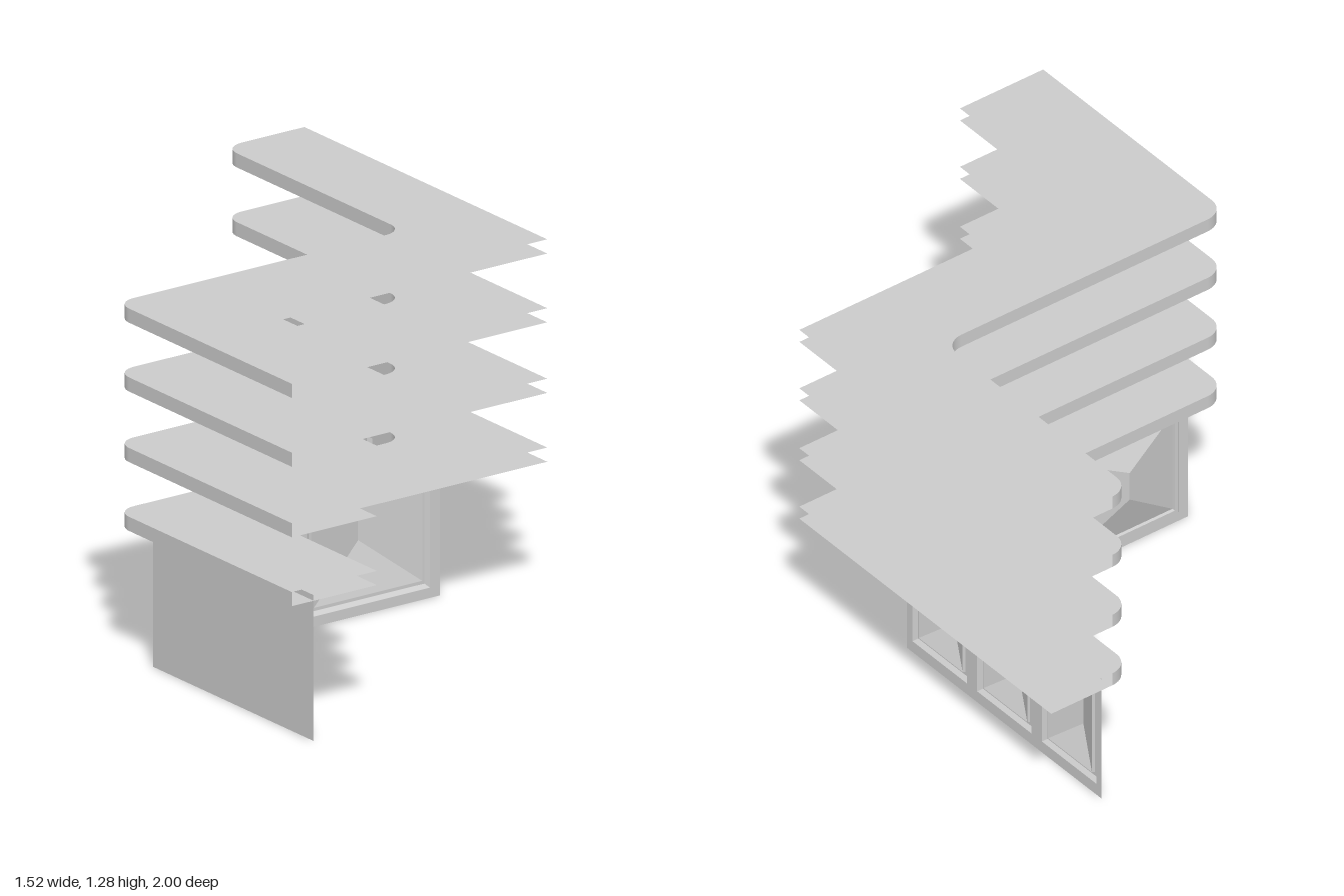
import * as THREE from 'three';

const material = new THREE.MeshStandardMaterial({ color: 0xcccccc, side: THREE.DoubleSide });
const BASE_HEIGHT = 0.515;

function addMesh(parent, geometry, name) {
  const mesh = new THREE.Mesh(geometry, material);
  mesh.name = name;
  parent.add(mesh);
  return mesh;
}

// Rounded outer edge of a shelf, as (x, z) points from the front end to the back end
function shelfEdge() {
  const r = 0.075, pts = [new THREE.Vector2(-0.76, 1)];
  const arc = (cx, cz, from, to) => {
    for (let i = 0; i <= 12; i++) {
      const a = from + (to - from) * i / 12;
      pts.push(new THREE.Vector2(cx + r * Math.cos(a), cz + r * Math.sin(a)));
    }
  };
  arc(-0.76 + r, 0.012 + r, Math.PI, Math.PI * 1.5);
  arc(0.427 - r, 0.012 - r, Math.PI / 2, 0);
  arc(0.427 + r, -1 + r, Math.PI, Math.PI * 1.5);
  return pts;
}

// Upright strip following the rounded edge
function stripGeometry(pts, height) {
  const geo = new THREE.PlaneGeometry(1, 1, pts.length - 1, 1);
  const pos = geo.attributes.position;
  for (let i = 0; i < pos.count; i++) {
    const p = pts[i % pts.length];
    pos.setXYZ(i, p.x, i < pts.length ? height : 0, p.y);
  }
  // the strip runs clockwise seen from above, so turn its faces outward
  geo.index.array.reverse();
  geo.computeVertexNormals();
  return geo;
}

// Shelf: two sheets joined by the outer strip, open on the inner side
function makeShelf(y) {
  const shelf = new THREE.Group(), thick = 0.05;
  const edge = shelfEdge();
  const outline = [...edge, [0.76, -1], [0.76, 0.363], [-0.41, 0.363], [-0.41, 1]]
    .map(p => (p.isVector2 ? p : new THREE.Vector2(...p)));
  const shape = new THREE.Shape(outline);
  const bottom = new THREE.ShapeGeometry(shape).rotateX(Math.PI / 2);
  const top = new THREE.ShapeGeometry(new THREE.Shape(outline.map(p => new THREE.Vector2(p.x, -p.y))))
    .rotateX(-Math.PI / 2).translate(0, thick, 0);
  addMesh(shelf, top, 'shelfTop');
  addMesh(shelf, bottom, 'shelfUnderside');
  addMesh(shelf, stripGeometry(edge, thick), 'shelfEdge');
  shelf.position.y = y;
  return shelf;
}

// Raised panel: moulding rings stepping out, then a hipped field with an upright ridge
function raisedPanel([x0, x1, y0, y1], ridge) {
  const ring = (inset, depth) => [
    [x0 + inset, y0 + inset, -depth], [x1 - inset, y0 + inset, -depth],
    [x1 - inset, y1 - inset, -depth], [x0 + inset, y1 - inset, -depth]];
  const mid = (x0 + x1) / 2;
  const low = [mid, ridge[0], -0.06], high = [mid, ridge[1], -0.06];
  const rings = [ring(0, 0), ring(0.013, 0.014), ring(0.026, 0.014), ring(0.029, 0.004), [low, low, high, high]];
  const verts = [];
  for (let k = 0; k < rings.length - 1; k++) {
    for (let i = 0; i < 4; i++) {
      const j = (i + 1) % 4;
      const a = rings[k][i], b = rings[k][j], c = rings[k + 1][j], d = rings[k + 1][i];
      verts.push(...a, ...c, ...b);
      if (c !== d) verts.push(...a, ...d, ...c);
      else continue;
    }
  }
  const geo = new THREE.BufferGeometry();
  geo.setAttribute('position', new THREE.Float32BufferAttribute(verts, 3));
  geo.computeVertexNormals();
  return geo;
}

// Upright sheet in the local xy plane, its panels bulging toward -z
function makeWall(x0, x1, panels, ridge) {
  const wall = new THREE.Group();
  const shape = new THREE.Shape([[x0, 0], [x1, 0], [x1, BASE_HEIGHT], [x0, BASE_HEIGHT]]
    .map(p => new THREE.Vector2(...p)));
  for (const p of panels) {
    const [a, b, c, d] = p;
    shape.holes.push(new THREE.Path([[a, c], [a, d], [b, d], [b, c]].map(q => new THREE.Vector2(...q))));
    addMesh(wall, raisedPanel(p, ridge), 'raisedPanel');
  }
  const sheet = new THREE.ShapeGeometry(shape);
  // face the outside of the counter
  sheet.index.array.reverse();
  sheet.computeVertexNormals();
  addMesh(wall, sheet, 'wallSheet');
  return wall;
}

export function createModel() {
  const model = new THREE.Group();
  model.name = 'barCounter';

  // Counter top and three shelves above it
  [0.495, 0.738, 0.987, 1.23].forEach((y, i) => {
    const shelf = makeShelf(y);
    shelf.name = i === 0 ? 'counterTop' : 'shelf';
    model.add(shelf);
  });

  // Middle wall with two wide panels
  const middle = makeWall(-0.67, 0.512,
    [[-0.63, -0.126, 0.036, 0.484], [-0.034, 0.47, 0.036, 0.484]], [0.24, 0.35]);
  middle.name = 'middleWall';
  middle.position.z = 0.1;
  model.add(middle);

  // Left wall with three narrow panels, running to the back
  const side = makeWall(-0.1, 0.953,
    [-0.07, 0.28, 0.63].map(u => [u, u + 0.295, 0.045, 0.48]), [0.18, 0.33]);
  side.name = 'leftWall';
  side.rotation.y = Math.PI / 2;
  side.position.x = 0.512;
  model.add(side);

  // Plain right wall, running to the front
  const plain = makeWall(-1, -0.1, [], null);
  plain.name = 'rightWall';
  plain.rotation.y = Math.PI / 2;
  plain.position.x = -0.67;
  model.add(plain);

  return model;
}
